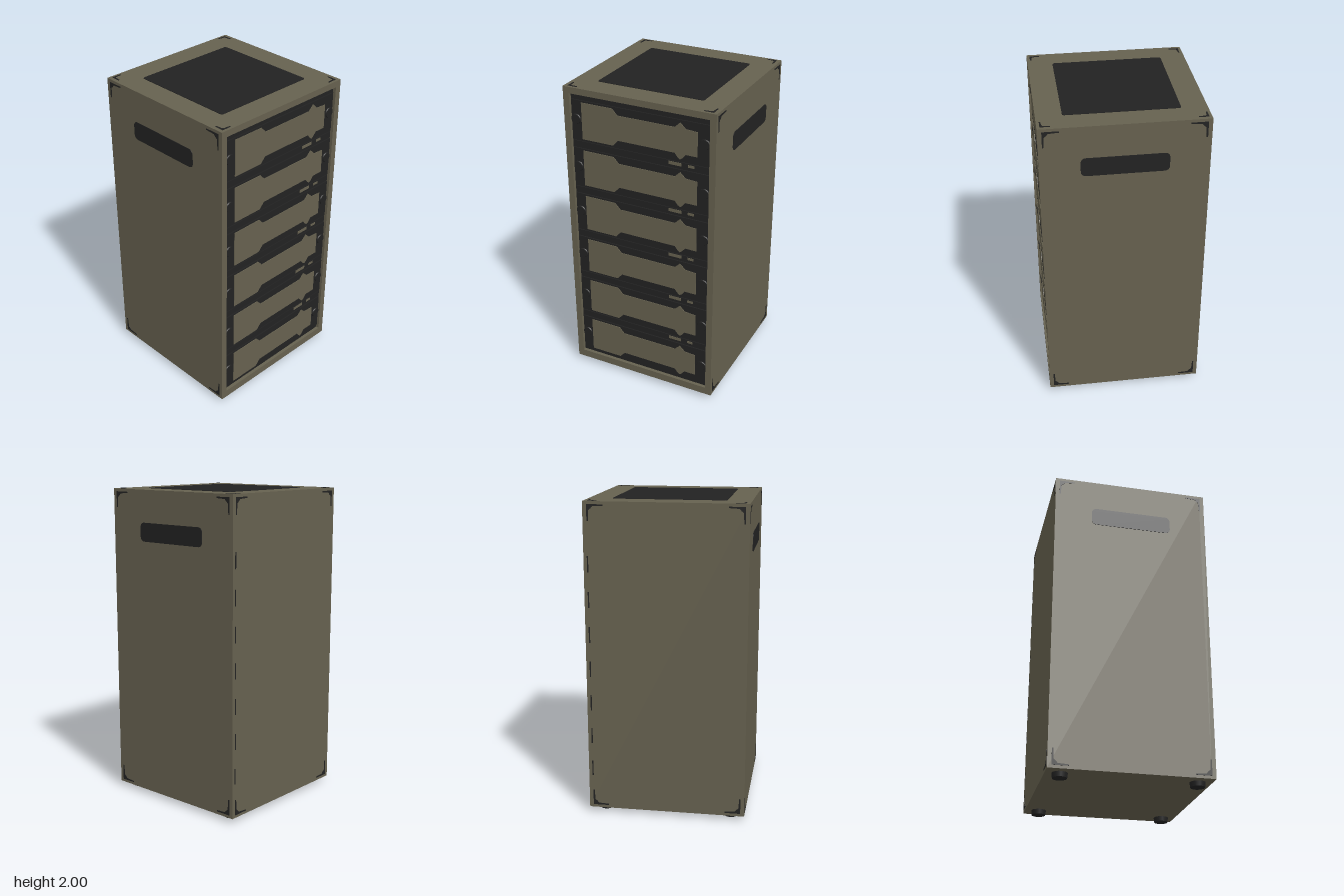
import * as THREE from 'three';

const olive = new THREE.MeshStandardMaterial({ color: 0x66614f });
olive.name = 'olive paint';
const black = new THREE.MeshStandardMaterial({ color: 0x222222 });
black.name = 'black plastic';

function add(parent, name, geometry, material, x = 0, y = 0, z = 0) {
  const mesh = new THREE.Mesh(geometry, material);
  mesh.name = name;
  mesh.position.set(x, y, z);
  parent.add(mesh);
  return mesh;
}
const box = (w, h, d) => new THREE.BoxGeometry(w, h, d);
const extrude = (shape, depth) =>
  new THREE.ExtrudeGeometry(shape, { depth, bevelEnabled: false, curveSegments: 6 });
const polygon = (points) => new THREE.Shape(points.map(([x, y]) => new THREE.Vector2(x, y)));
const rectangle = (x0, y0, x1, y1) => polygon([[x0, y0], [x1, y0], [x1, y1], [x0, y1]]);

function roundedRect(w, h, r) {
  const s = new THREE.Shape();
  s.absarc(w / 2 - r, h / 2 - r, r, 0, Math.PI / 2);
  s.absarc(-w / 2 + r, h / 2 - r, r, Math.PI / 2, Math.PI);
  s.absarc(-w / 2 + r, -h / 2 + r, r, Math.PI, Math.PI * 1.5);
  s.absarc(w / 2 - r, -h / 2 + r, r, Math.PI * 1.5, Math.PI * 2);
  s.closePath();
  return s;
}

// Worn paint: a small chipped L in each corner of a wall of the given size
function cornerWear(w, h, size) {
  const wall = new THREE.Group();
  wall.name = 'cornerWear';
  const s = size;
  const chip = extrude(polygon([
    [0, 0], [-s, 0], [-s, -0.008], [-0.35 * s, -0.012], [-0.25 * s, -0.25 * s],
    [-0.012, -0.35 * s], [-0.008, -s], [0, -s],
  ]), 0.002);
  for (const [sx, sy, turn] of [[1, 1, 0], [-1, 1, 1], [-1, -1, 2], [1, -1, 3]]) {
    add(wall, 'cornerChip', chip, black, sx * (w / 2 - 0.025), sy * (h / 2 - 0.018))
      .rotation.z = turn * Math.PI / 2;
  }
  return wall;
}

export function createModel() {
  const model = new THREE.Group();
  model.name = 'drawerCabinet';

  // Cabinet shell with a raised frame around the front opening
  add(model, 'cabinetBody', box(1, 1.97, 0.97), olive, 0, 1.015, -0.015);
  const frame = rectangle(-0.5, 0.03, 0.5, 2);
  frame.holes.push(rectangle(-0.46, 0.08, 0.46, 1.96));
  add(model, 'frontFrame', extrude(frame, 0.03), olive, 0, 0, 0.47);
  add(model, 'frontBacking', box(0.92, 1.88, 0.008), black, 0, 1.02, 0.474);

  // Six drawers, each with a notched painted panel and a latch on both ends
  const panel = extrude(polygon([
    [-0.385, -0.118], [-0.175, -0.118], [-0.14, -0.08], [0.235, -0.08], [0.255, -0.105],
    [0.27, -0.116], [0.285, -0.105], [0.305, -0.08], [0.38, -0.08],
    [0.38, 0.075], [0.305, 0.08], [0.285, 0.1], [0.27, 0.114], [0.255, 0.1],
    [0.235, 0.08], [-0.14, 0.08], [-0.175, 0.118], [-0.385, 0.118],
  ]), 0.004);
  const latch = new THREE.CylinderGeometry(0.03, 0.034, 0.008, 20).rotateX(Math.PI / 2);
  for (let i = 0; i < 6; i++) {
    const drawer = new THREE.Group();
    drawer.name = 'drawer' + (i + 1);
    drawer.position.y = 0.232 + i * 0.312;
    model.add(drawer);
    add(drawer, 'drawerFront', box(0.91, 0.258, 0.008), black, 0, 0, 0.482);
    add(drawer, 'drawerPanel', panel, olive, 0, 0, 0.486);
    for (const side of [-1, 1]) add(drawer, 'latch', latch, black, side * 0.425, 0.007, 0.488);
    // Rail above the drawer with scuffed label strips
    if (i < 5) {
      add(drawer, 'rail', box(0.91, 0.04, 0.006), black, 0, 0.156, 0.481);
      add(drawer, 'railLabel', box(0.085, 0.02, 0.003), olive, 0.235, 0.161, 0.485);
      add(drawer, 'railLabel', box(0.04, 0.016, 0.003), olive, 0.34, 0.161, 0.485);
    }
  }

  // Dark pad on the lid
  const pad = add(model, 'topPad', extrude(roundedRect(0.7, 0.69, 0.015), 0.003), black, 0, 2, 0);
  pad.rotation.x = -Math.PI / 2;

  // Grip slots on both sides
  const slot = extrude(roundedRect(0.52, 0.118, 0.03), 0.003);
  for (const side of [-1, 1]) {
    add(model, 'sideHandle', slot, black, side * 0.5, 1.738, 0).rotation.y = side * Math.PI / 2;
  }

  // Chipped paint on the sides, back and lid
  for (const [turn, x, z] of [[1, 0.5, 0], [-1, -0.5, 0], [2, 0, -0.5]]) {
    const wear = cornerWear(1, 1.97, 0.1);
    wear.position.set(x, 1.015, z);
    wear.rotation.y = turn * Math.PI / 2;
    model.add(wear);
  }
  const lidWear = cornerWear(1, 1, 0.06);
  lidWear.position.y = 2;
  lidWear.rotation.x = -Math.PI / 2;
  model.add(lidWear);

  // Scratches along one back edge
  for (let i = 0; i < 7; i++) {
    add(model, 'edgeScratch', box(0.008, 0.1, 0.002), black, 0.475, 0.3 + i * 0.22, -0.5);
  }

  // Round feet
  const foot = new THREE.CylinderGeometry(0.048, 0.044, 0.03, 20);
  for (const x of [-0.408, 0.408]) {
    for (const z of [-0.412, 0.412]) add(model, 'foot', foot, black, x, 0.015, z);
  }
  return model;
}
